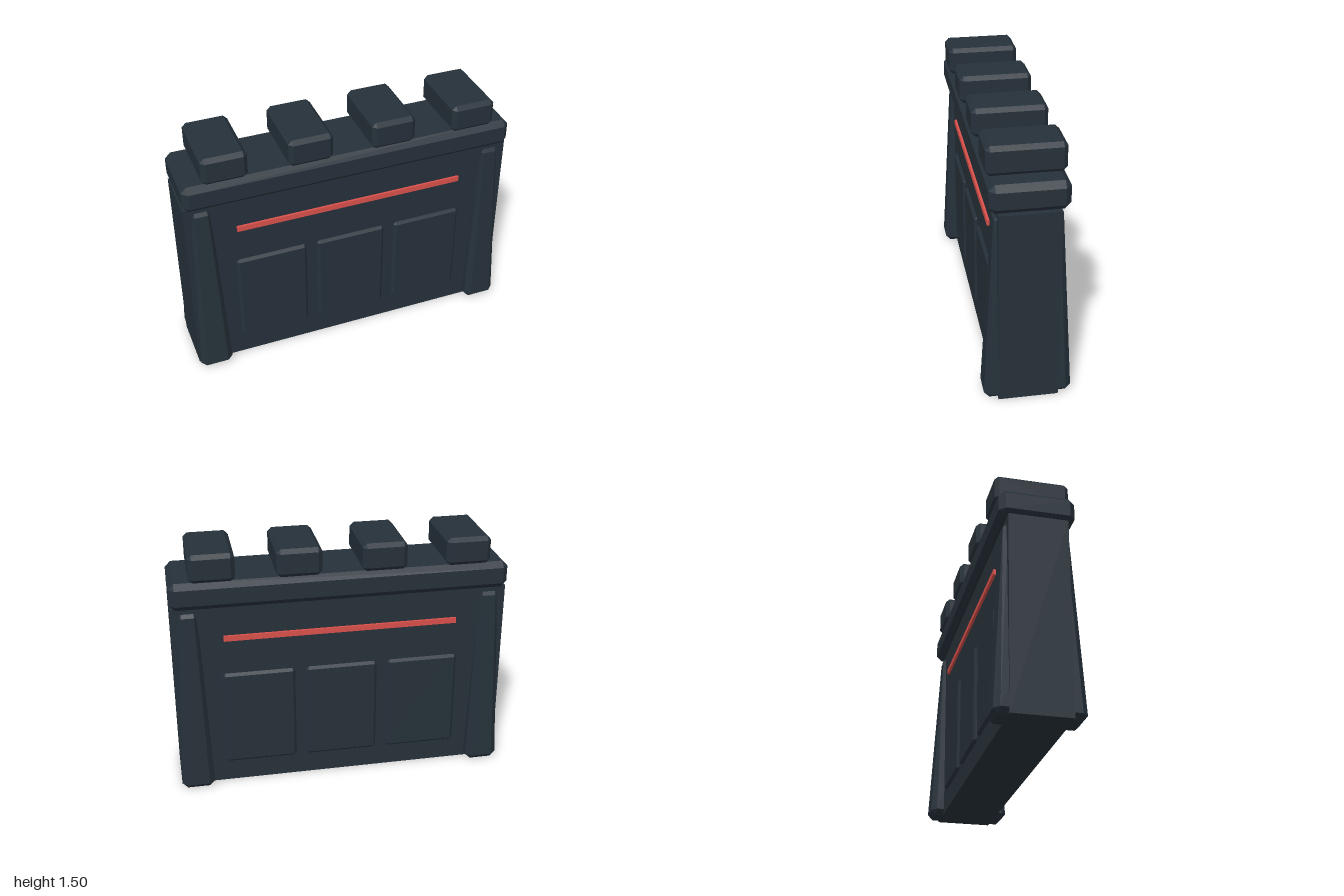
import * as THREE from 'three';
import { ConvexGeometry } from 'three/addons/geometries/ConvexGeometry.js';

// Box with bevelled edges, standing on y = 0; the top may be narrowed in x and z
function chamferedBox(w, h, d, c, topX = 1, topZ = 1) {
  const points = [];
  for (const sx of [-1, 1]) for (const sy of [0, 1]) for (const sz of [-1, 1]) {
    for (let axis = 0; axis < 3; axis++) {
      // each corner becomes three points, one on each adjoining face
      const inset = [c, c, c];
      inset[axis] = 0;
      const y = sy ? h - inset[1] : inset[1];
      const t = y / h;
      points.push(new THREE.Vector3(
        sx * (w / 2 - inset[0]) * (1 + (topX - 1) * t),
        y,
        sz * (d / 2 - inset[2]) * (1 + (topZ - 1) * t)));
    }
  }
  return new ConvexGeometry(points);
}

export function createModel() {
  const model = new THREE.Group();
  model.name = 'battlementWall';

  const slate = new THREE.MeshStandardMaterial({ color: 0x26313a });
  slate.name = 'darkSlate';
  const red = new THREE.MeshStandardMaterial({ color: 0xd9504a });
  red.name = 'signalRed';

  const add = (name, geometry, material, x, y, z) => {
    const mesh = new THREE.Mesh(geometry, material);
    mesh.name = name;
    mesh.position.set(x, y, z);
    model.add(mesh);
    return mesh;
  };

  // Main slab and the bevelled coping on top
  add('wallBody', new THREE.BoxGeometry(2, 1.17, 0.34), slate, 0, 0.585, 0);
  add('coping', chamferedBox(2, 0.165, 0.434, 0.034), slate, 0, 1.17, 0);

  // Four merlons along the coping
  const merlon = chamferedBox(0.265, 0.168, 0.434, 0.024);
  for (const x of [-0.75, -0.25, 0.25, 0.75]) add('merlon', merlon, slate, x, 1.334, 0);

  // Tapered buttresses passing through both ends of the wall
  const buttress = chamferedBox(0.2, 1.15, 0.5, 0.033, 0.55, 0.74);
  for (const x of [-0.9, 0.9]) add('buttress', buttress, slate, x, 0, 0);

  // Raised panels and the red strip, on the front and the back
  const panel = chamferedBox(0.434, 0.605, 0.06, 0.016);
  const strip = new THREE.BoxGeometry(1.4, 0.033, 0.03);
  for (const side of [-1, 1]) {
    for (const x of [-0.5, 0, 0.5]) add('raisedPanel', panel, slate, x, 0.133, side * 0.157);
    add('redStrip', strip, red, 0, 0.97, side * 0.17);
  }
  return model;
}
